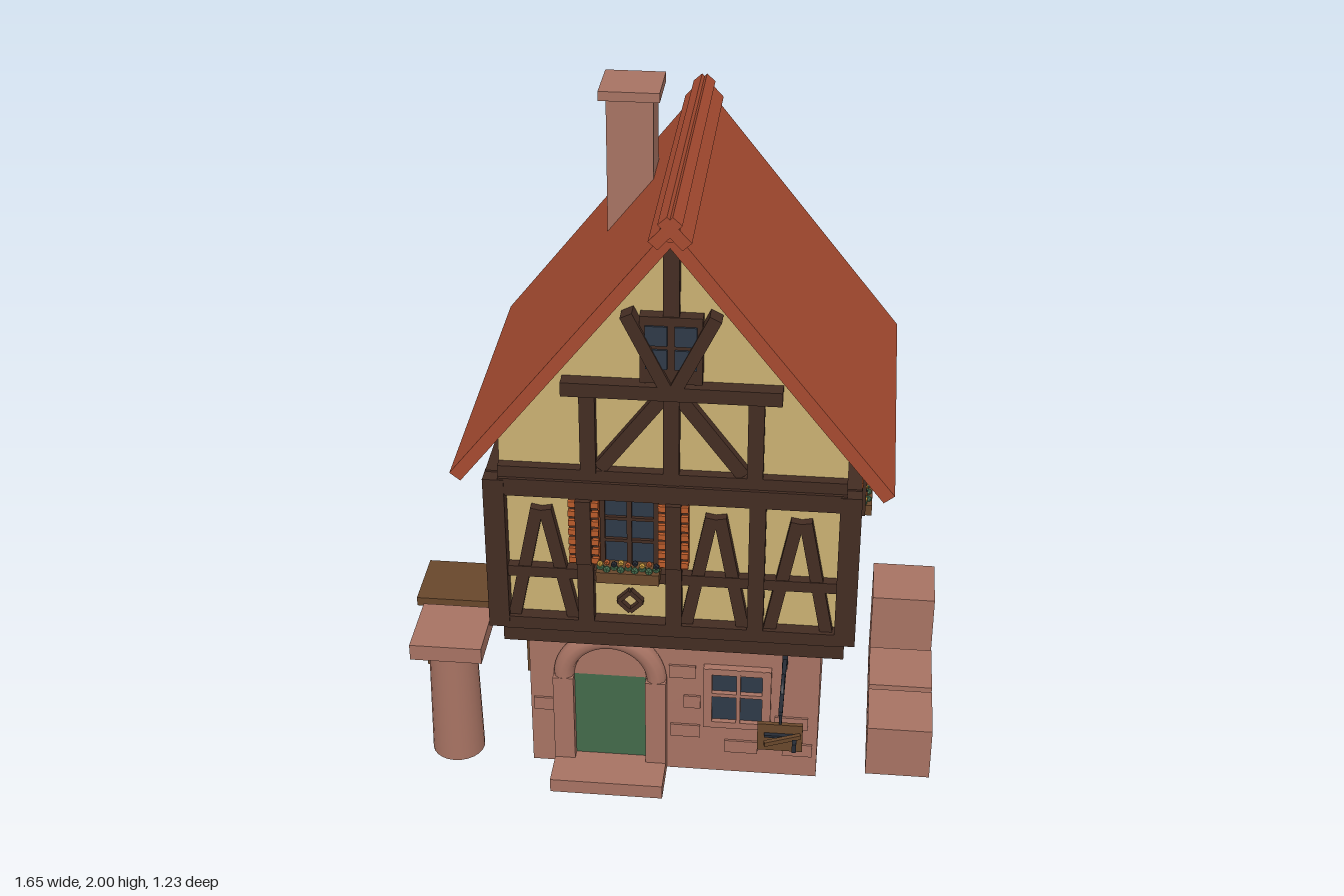
import * as THREE from 'three';

const mat = (name, color) => Object.assign(new THREE.MeshStandardMaterial({ color }), { name });

export function createModel() {
  const stone = mat('stone', 0xa67262), plaster = mat('plaster', 0xc9b071), timber = mat('darkTimber', 0x432c22),
    tile = mat('roofTile', 0xa54a30), shutterMat = mat('shutterOrange', 0xb85a2a), glass = mat('glass', 0x2e3947),
    doorGreen = mat('doorGreen', 0x42694a), wood = mat('wood', 0x68472b), iron = mat('iron', 0x262b35),
    petal = mat('petalYellow', 0xd0a040);
  const house = new THREE.Group();
  house.name = 'timberFramedHouse';
  const CX = 0.045, CZ = -0.0875, HX = 0.4875, HZ = 0.4475;

  const add = (parent, name, geo, m, x = 0, y = 0, z = 0) => {
    const mesh = new THREE.Mesh(geo, m);
    mesh.name = name;
    mesh.position.set(x, y, z);
    parent.add(mesh);
    return mesh;
  };
  // box given by its min and max on each axis
  const span = (parent, name, m, x0, x1, y0, y1, z0, z1) =>
    add(parent, name, new THREE.BoxGeometry(x1 - x0, y1 - y0, z1 - z0), m, (x0 + x1) / 2, (y0 + y1) / 2, (z0 + z1) / 2);
  // slanted beam standing out from a wall plane at z = 0
  const beam = (parent, name, m, x0, y0, x1, y1, w, d) => {
    const b = add(parent, name, new THREE.BoxGeometry(Math.hypot(x1 - x0, y1 - y0), w, d), m, (x0 + x1) / 2, (y0 + y1) / 2, d / 2);
    b.rotation.z = Math.atan2(y1 - y0, x1 - x0);
    return b;
  };
  const wallGroup = (name, x, z, ry) => {
    const g = new THREE.Group();
    g.name = name;
    g.position.set(x, 0, z);
    g.rotation.y = ry;
    house.add(g);
    return g;
  };

  // ground floor, floor slab and joists
  span(house, 'groundFloor', stone, -0.39, 0.48, 0, 0.51, -0.48, 0.3);
  span(house, 'floorBeam', timber, -0.45, 0.545, 0.5, 0.57, -0.54, 0.37);
  for (const z of [0.245, 0.015, -0.215, -0.445]) span(house, 'joist', timber, -0.44, 0.53, 0.47, 0.5, z - 0.016, z + 0.016);
  span(house, 'upperFloor', plaster, CX - HX, CX + HX, 0.56, 1.1, CZ - HZ, CZ + HZ);
  for (const sx of [-1, 1]) for (const sz of [-1, 1])
    add(house, 'cornerPost', new THREE.BoxGeometry(0.06, 0.5, 0.06), timber, CX + sx * (HX + 0.0125), 0.82, CZ + sz * (HZ + 0.0125));

  // window with shutters and flower box
  const addWindow = (g, cx, hw) => {
    span(g, 'windowGlass', glass, cx - hw, cx + hw, 0.8, 1.02, 0, 0.008);
    for (const s of [-1, 0, 1]) span(g, 'windowBar', timber, cx + s * (hw - 0.007) - 0.007, cx + s * (hw - 0.007) + 0.007, 0.8, 1.02, 0, 0.02);
    for (const y of [0.875, 0.948]) span(g, 'windowBar', timber, cx - hw, cx + hw, y - 0.005, y + 0.005, 0, 0.018);
    for (const s of [-1, 1]) {
      const x = cx + s * (hw + 0.044);
      span(g, 'shutter', shutterMat, x - 0.042, x + 0.042, 0.8, 1.02, 0, 0.034);
      span(g, 'shutterBoard', timber, x - 0.022, x + 0.022, 0.81, 1.02, 0, 0.055);
      for (let i = 0; i < 7; i++) {
        const y = 0.818 + i * 0.031;
        span(g, 'shutterSlat', shutterMat, x - 0.043, x + 0.043, y - 0.009, y + 0.009, 0.03, 0.045);
        span(g, 'shutterGap', timber, x - 0.041, x + 0.041, y + 0.012, y + 0.018, 0.03, 0.037);
      }
    }
    span(g, 'flowerBox', wood, cx - 0.09, cx + 0.09, 0.765, 0.8, 0, 0.075);
    for (let i = 0; i < 9; i++) {
      const x = cx - 0.08 + i * 0.02;
      add(g, 'flowerLeaf', new THREE.IcosahedronGeometry(0.012, 0), doorGreen, x, 0.804, 0.05 + 0.012 * (i % 2));
      add(g, 'flower', new THREE.IcosahedronGeometry(0.01, 0), [petal, shutterMat, iron][i % 3], x, 0.816 + 0.006 * (i % 2), 0.052);
    }
  };

  // timber framing of one upper wall
  const addFrame = (g, half, posts, trusses, wx, hw) => {
    span(g, 'sillBeam', timber, -half, half, 0.565, 0.606, 0, 0.04);
    span(g, 'headBeam', timber, -half, half, 1.02, 1.075, 0, 0.04);
    span(g, 'midRail', timber, -half, half, 0.742, 0.776, 0, 0.03);
    for (const x of posts) span(g, 'wallPost', timber, x - 0.023, x + 0.023, 0.59, 1.04, 0, 0.04);
    for (const [x, w] of trusses) {
      for (const s of [-1, 1]) beam(g, 'footBrace', timber, x + s * (w - 0.018), 0.6, x + s * 0.012, 0.97, 0.036, 0.027);
    }
    for (const sx of [-1, 1]) for (const sy of [-1, 1])
      beam(g, 'diamondMoulding', timber, wx + sx * 0.034, 0.665, wx, 0.665 + sy * 0.034, 0.013, 0.02);
    addWindow(g, wx, hw);
  };

  // gable framing with attic window
  const addGable = (g) => {
    span(g, 'tieBeam', timber, -HX, HX, 1.06, 1.11, 0, 0.03);
    span(g, 'kingPost', timber, -0.022, 0.022, 1.07, 1.8, 0, 0.032);
    span(g, 'collarBeam', timber, -0.302, 0.302, 1.35, 1.392, 0, 0.045);
    span(g, 'atticWindowFrame', timber, -0.085, 0.085, 1.4, 1.6, 0, 0.036);
    for (const s of [-1, 1]) {
      span(g, 'gablePost', timber, s * 0.232 - 0.022, s * 0.232 + 0.022, 1.1, 1.36, 0, 0.032);
      beam(g, 'gableBrace', timber, s * 0.02, 1.355, s * 0.2, 1.115, 0.04, 0.028);
      beam(g, 'upperBrace', timber, s * 0.01, 1.38, s * 0.12, 1.605, 0.036, 0.048);
      for (const y of [1.475, 1.545])
        span(g, 'atticGlass', glass, s * 0.04 - 0.03, s * 0.04 + 0.03, y - 0.029, y + 0.029, 0.034, 0.042);
    }
  };

  for (const back of [0, 1]) {
    const s = back ? -1 : 1;
    const g = wallGroup(back ? 'backWall' : 'frontWall', CX, CZ + s * HZ, back * Math.PI);
    addFrame(g, HX, [-0.245, 0.0075, 0.2425], [[-0.37, 0.105], [0.125, 0.1], [0.365, 0.1]], -0.12, 0.083);
    addGable(g);
    const side = wallGroup(back ? 'rightWall' : 'leftWall', CX + s * HX, CZ, s * Math.PI / 2);
    addFrame(side, HZ, [-0.147, 0.147], [[-0.295, 0.125], [0.295, 0.125]], 0, 0.1);
  }

  // gable prism
  const gable = new THREE.Shape([[-HX, 1.08], [HX, 1.08], [HX, 1.2], [0, 1.815], [-HX, 1.2]].map(p => new THREE.Vector2(...p)));
  add(house, 'gablePlaster', new THREE.ExtrudeGeometry(gable, { depth: 2 * HZ, bevelEnabled: false }), plaster, CX, 0, CZ - HZ);

  // roof slopes and ridge caps
  const roof = wallGroup('roof', CX, 0, 0);
  for (const s of [-1, 1]) {
    beam(roof, 'roofSlope', tile, s * 0.602, 1.085, 0, 1.843, 0.038, 1.025).position.z = -0.0925;
    beam(roof, 'ridgeCap', tile, s * 0.045, 1.822, -s * 0.02, 1.893, 0.034, 1.037).position.z = -0.0895;
  }
  add(roof, 'ridgeRoll', new THREE.CylinderGeometry(0.03, 0.03, 1.03, 8).rotateX(Math.PI / 2), tile, 0, 1.86, -0.09);

  // chimney
  span(house, 'chimney', stone, -0.2, -0.065, 1.4, 1.98, -0.34, -0.2);
  span(house, 'chimneyCap', stone, -0.22, -0.045, 1.972, 2, -0.357, -0.183);

  // doorway
  const DX = -0.146;
  span(house, 'doorStep', stone, DX - 0.17, DX + 0.17, 0, 0.045, 0.28, 0.45);
  span(house, 'door', doorGreen, DX - 0.11, DX + 0.11, 0.045, 0.345, 0.29, 0.308);
  for (const s of [-1, 1]) span(house, 'doorJamb', stone, DX + s * 0.139 - 0.031, DX + s * 0.139 + 0.031, 0.04, 0.345, 0.28, 0.34);
  add(house, 'doorArch', new THREE.TorusGeometry(0.139, 0.031, 10, 24, Math.PI), stone, DX, 0.342, 0.31);
  add(house, 'archPanel', new THREE.CylinderGeometry(0.13, 0.13, 0.02, 24, 1, false, Math.PI / 2, Math.PI).rotateX(Math.PI / 2), stone, DX, 0.345, 0.3);

  // ground floor window
  span(house, 'lowWindowGlass', glass, 0.16, 0.32, 0.2, 0.385, 0.3, 0.308);
  for (const x of [0.148, 0.24, 0.324]) {
    const w = x === 0.24 ? 0.006 : 0.013;
    span(house, 'lowWindowFrame', stone, x - w, x + w, 0.187, 0.4, 0.3, 0.325);
  }
  for (const [y, h] of [[0.194, 0.011], [0.305, 0.006], [0.39, 0.011]])
    span(house, 'lowWindowFrame', stone, 0.135, 0.337, y - h, y + h, 0.3, 0.324);

  // raised wall stones
  for (const [x, y, w] of [[0.08, 0.15, 0.09], [0.07, 0.37, 0.08], [0.4, 0.2, 0.1], [0.42, 0.1, 0.09], [0.25, 0.1, 0.1], [-0.35, 0.22, 0.06], [0.1, 0.26, 0.05]])
    span(house, 'wallStone', stone, x - w / 2, x + w / 2, y - 0.022, y + 0.022, 0.295, 0.307);

  // hanging sign on an iron bracket
  const SX = 0.375;
  span(house, 'signBracket', iron, SX - 0.006, SX + 0.006, 0.432, 0.446, 0.3, 0.565);
  span(house, 'bracketPlate', iron, SX - 0.008, SX + 0.008, 0.41, 0.468, 0.3, 0.315);
  add(house, 'bracketScroll', new THREE.TorusGeometry(0.05, 0.006, 6, 16, Math.PI).rotateY(Math.PI / 2), iron, SX, 0.415, 0.435);
  span(house, 'signHanger', iron, SX - 0.004, SX + 0.004, 0.38, 0.44, 0.543, 0.551);
  span(house, 'signBoard', wood, 0.31, 0.44, 0.297, 0.39, 0.54, 0.553);
  const spoon = add(house, 'signOrnament', new THREE.BoxGeometry(0.11, 0.014, 0.012), wood, 0.383, 0.358, 0.58);
  spoon.rotation.y = 0.4;
  span(house, 'signPin', iron, 0.33, 0.43, 0.352, 0.36, 0.553, 0.566);
  span(house, 'signKnob', iron, 0.412, 0.424, 0.345, 0.373, 0.595, 0.618);

  // round pillar with a square top
  add(house, 'pillar', new THREE.CylinderGeometry(0.072, 0.08, 0.4, 24), stone, -0.632, 0.2, 0.255);
  span(house, 'pillarTop', stone, -0.74, -0.524, 0.398, 0.45, 0.147, 0.363);

  // bench
  span(house, 'benchTop', wood, -0.828, -0.435, 0.25, 0.28, -0.336, -0.12);
  for (const x of [-0.798, -0.465]) span(house, 'benchLeg', wood, x - 0.014, x + 0.014, 0, 0.25, -0.315, -0.14);

  // stone blocks beside the house
  for (const [z, h] of [[0.1725, 0.175], [-0.045, 0.175], [-0.265, 0.35]])
    span(house, 'stoneBlock', stone, 0.63, 0.825, 0, h, z - 0.098, z + 0.098);

  return house;
}
